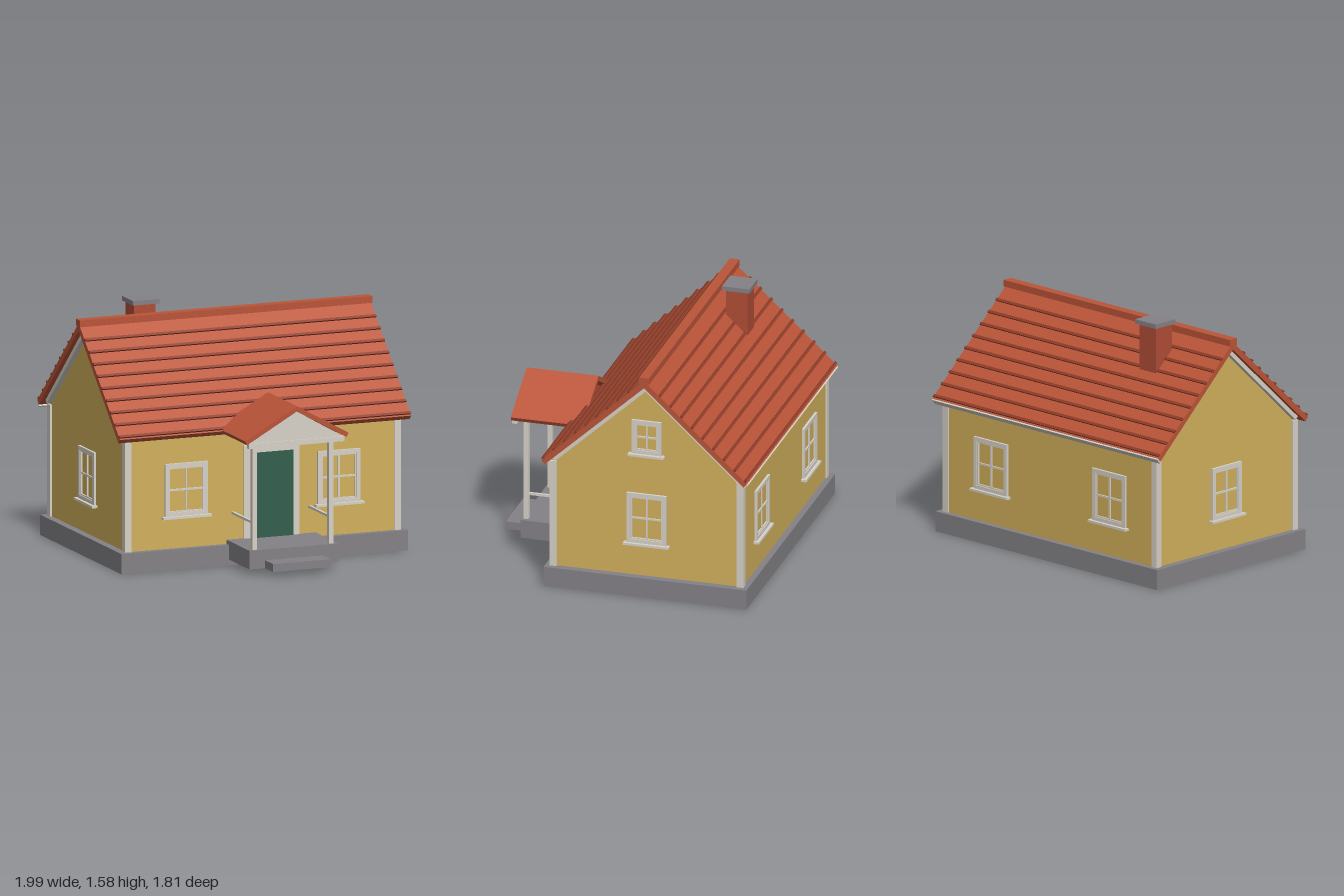
import * as THREE from 'three';

const mat = (name, color) => {
  const m = new THREE.MeshStandardMaterial({ color });
  m.name = name;
  return m;
};

export function createModel() {
  const wallPaint = mat('wall yellow', 0xd2b05c);
  const trim = mat('trim white', 0xd8d3c8);
  const tile = mat('roof red', 0xbb5539);
  const tileDark = mat('tile edge dark red', 0x8e3c28);
  const brick = mat('chimney brick', 0xb04e36);
  const stone = mat('stone grey', 0x848286);
  const doorGreen = mat('door green', 0x335f4e);

  const house = new THREE.Group();
  house.name = 'house';
  const midZ = -0.22;

  const add = (parent, name, geo, material) => {
    const mesh = new THREE.Mesh(geo, material);
    mesh.name = name;
    parent.add(mesh);
    return mesh;
  };
  // box given by its limits on each axis
  const box = (parent, name, material, x0, x1, y0, y1, z0, z1) => {
    const mesh = add(parent, name, new THREE.BoxGeometry(x1 - x0, y1 - y0, z1 - z0), material);
    mesh.position.set((x0 + x1) / 2, (y0 + y1) / 2, (z0 + z1) / 2);
    return mesh;
  };
  const group = (parent, name, x = 0, y = 0, z = 0, ry = 0) => {
    const g = new THREE.Group();
    g.name = name;
    g.position.set(x, y, z);
    g.rotation.y = ry;
    parent.add(g);
    return g;
  };
  const prism = (points, depth) => new THREE.ExtrudeGeometry(
    new THREE.Shape(points.map(([x, y]) => new THREE.Vector2(x, y))),
    { depth, bevelEnabled: false });

  // foundation and gabled walls
  box(house, 'foundation', stone, -0.975, 0.975, 0, 0.13, -0.885, 0.445);
  const walls = add(house, 'walls', prism(
    [[-0.625, 0.13], [0.625, 0.13], [0.625, 0.855], [0, 1.43], [-0.625, 0.855]], 1.85), wallPaint);
  walls.rotation.y = Math.PI / 2;
  walls.position.set(-0.925, 0, midZ);

  // corner boards
  for (const x of [-0.9175, 0.9175]) {
    for (const z of [0.3925, -0.8325]) {
      box(house, 'cornerBoard', trim, x - 0.0225, x + 0.0225, 0.13, 0.845, z - 0.0225, z + 0.0225);
    }
  }

  // main roof: two slopes with tile courses and gable trim
  const pitch = Math.atan(0.92);
  for (const side of [0, 1]) {
    const holder = group(house, side ? 'backRoof' : 'frontRoof', 0, 1.485, midZ, side * Math.PI);
    const slope = group(holder, 'slope');
    slope.rotation.x = pitch;
    box(slope, 'roofSlab', tile, -0.99, 0.99, -0.035, 0, 0, 0.917);
    for (let i = 0; i < 9; i++) {
      const s = (0.1 + 0.07 * i) / Math.cos(pitch);
      box(slope, 'tileCourse', tileDark, -0.99, 0.99, -0.005, 0.011, s - 0.009, s + 0.009);
    }
    for (const x of [-0.94, 0.94]) {
      box(slope, 'gableTrim', trim, x - 0.02, x + 0.02, -0.062, -0.034, 0.02, 0.865);
    }
    if (side) box(slope, 'eaveBoard', trim, -0.99, 0.99, -0.045, -0.002, 0.915, 0.927);
  }
  box(house, 'ridgeCap', tile, -0.995, 0.995, 1.465, 1.508, midZ - 0.032, midZ + 0.032);

  // chimney
  box(house, 'chimney', brick, -0.565, -0.42, 1.15, 1.55, -0.475, -0.335);
  box(house, 'chimneyCap', stone, -0.58, -0.4, 1.547, 1.576, -0.495, -0.315);

  // windows: frame with a hole, inner sash, glazing bars and sill, facing local +z
  const ring = (w, h, t, depth) => {
    const rect = (a, b, target) => {
      target.moveTo(-a, -b);
      target.lineTo(a, -b);
      target.lineTo(a, b);
      target.lineTo(-a, b);
      target.closePath();
      return target;
    };
    const shape = rect(w / 2, h / 2, new THREE.Shape());
    shape.holes.push(rect(w / 2 - t, h / 2 - t, new THREE.Path()));
    return new THREE.ExtrudeGeometry(shape, { depth, bevelEnabled: false });
  };
  const addWindow = (x, y, z, ry, w, h) => {
    const g = group(house, 'window', x, y, z, ry);
    add(g, 'windowFrame', ring(w, h, 0.026, 0.016), trim);
    add(g, 'windowSash', ring(w - 0.052, h - 0.052, 0.009, 0.01), trim);
    const a = w / 2 - 0.026, b = h / 2 - 0.026;
    box(g, 'uprightBar', trim, -0.006, 0.006, -b, b, 0, 0.009);
    box(g, 'crossBar', trim, -a, a, -0.006, 0.006, 0, 0.009);
    box(g, 'windowSill', trim, -w / 2 - 0.02, w / 2 + 0.02, -h / 2 - 0.012, -h / 2 + 0.003, 0, 0.036);
  };
  for (const x of [-0.522, 0.517]) {
    addWindow(x, 0.505, 0.405, 0, 0.29, 0.34);
    addWindow(x, 0.505, -0.845, Math.PI, 0.29, 0.34);
  }
  addWindow(0.925, 0.52, midZ, Math.PI / 2, 0.26, 0.34);
  addWindow(-0.925, 0.505, midZ, -Math.PI / 2, 0.26, 0.34);
  addWindow(0.925, 1.075, midZ, Math.PI / 2, 0.195, 0.23);

  // porch, centred on the door
  const porch = group(house, 'porch', 0.058);
  box(porch, 'doorFrame', trim, -0.188, 0.188, 0.13, 0.755, 0.4, 0.42);
  box(porch, 'door', doorGreen, -0.143, 0.143, 0.155, 0.703, 0.4, 0.428);
  box(porch, 'porchFloor', stone, -0.302, 0.302, 0.037, 0.157, 0.4, 0.78);
  box(porch, 'step', stone, -0.195, 0.195, 0.037, 0.088, 0.77, 0.908);
  box(porch, 'porchBeam', trim, -0.325, 0.325, 0.82, 0.853, 0.795, 0.828);
  const pediment = add(porch, 'pediment', prism([[-0.32, 0.85], [0.32, 0.85], [0, 1.036]], 0.025), trim);
  pediment.position.z = 0.795;
  for (const s of [-1, 1]) {
    box(porch, 'porchPost', trim, s * 0.26 - 0.0155, s * 0.26 + 0.0155, 0.155, 0.845, 0.735, 0.766);
    box(porch, 'handrail', trim, s * 0.26 - 0.008, s * 0.26 + 0.008, 0.32, 0.335, 0.405, 0.74);
    const slope = group(porch, 'porchRoofSlope', 0, 1.07, 0);
    slope.rotation.z = -s * Math.atan(0.198 / 0.352);
    box(slope, 'porchRoof', tile, s > 0 ? 0 : -0.404, s > 0 ? 0.404 : 0, -0.03, 0, 0.357, 0.828);
  }

  return house;
}
